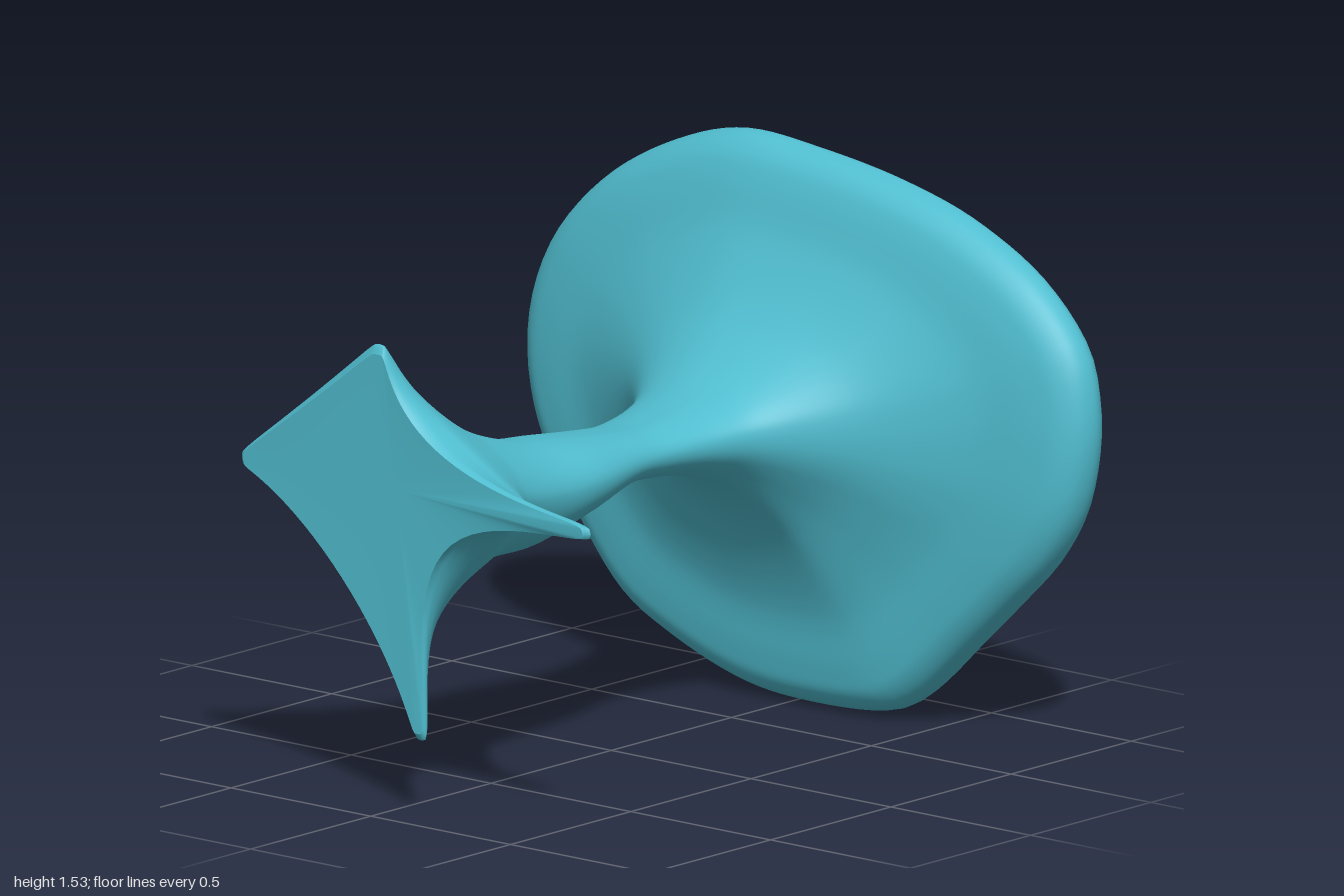
import * as THREE from 'three';

const SEG = 120, STEPS = 130;

// Rim of the broad disc, as [z, y]
const RIM = [
  [1, .82], [1, .95], [.96, 1.1], [.8, 1.27], [.55, 1.4], [.3, 1.47], [0, 1.515], [-.28, 1.53],
  [-.5, 1.47], [-.75, 1.33], [-.93, 1.13], [-1, .9], [-.96, .65], [-.8, .4], [-.62, .2],
  [-.45, .11], [-.2, .025], [0, 0], [.34, .02], [.43, .07], [.6, .23], [.73, .355], [.87, .5], [.96, .65],
];
const RIM_Y = .82;

// Star end and stem: x, top y, bottom y, +z reach, -z reach, centre y, starriness
const STEM = [
  [-.903, 1.26, .23, .715, -.54, .89, 1],
  [-.888, 1.285, .21, .735, -.555, .89, 1],
  [-.870, 1.26, .32, .59, -.53, .89, .95],
  [-.84, 1.21, .43, .47, -.49, .885, .86],
  [-.80, 1.155, .50, .405, -.455, .88, .75],
  [-.70, 1.06, .59, .29, -.38, .86, .52],
  [-.60, 1.00, .635, .225, -.33, .84, .34],
  [-.40, .935, .64, .175, -.265, .81, .18],
  [-.20, .91, .69, .16, -.245, .81, .08],
  [0, .887, .742, .12, -.212, .815, 0],
];
const NECK = [.1, .88, .74, .112, -.2, .815, 0];

// Flare and disc: x, blend from neck to rim, lean with height
const FLARE = [
  [.1, 0, 0], [.2, .012, 0], [.3, .04, 0], [.4, .09, .01], [.5, .19, .02], [.6, .345, .035], [.7, .625, .045],
  [.737, .84, .055], [.76, .93, .06], [.80, .985, .06], [.85, 1, .05], [.89, .985, .02], [.916, .955, 0],
  [.934, .89, 0], [.943, .78, 0], [.945, .6, 0], [.94, .3, 0], [.937, .05, 0],
];

// Rounded superellipse section with its own reach and curvature in each quadrant
function stemPoint([x, top, bottom, front, back, yc, star], t) {
  const c = Math.cos(t), s = Math.sin(t), r = .042;
  const pointy = c > 0 ? (s > 0 ? .5 : .4) : (s > 0 ? .95 : .72);
  const n = 2 + (pointy - 2) * star, blunt = 1 - .6 * star;
  const a = Math.abs(c > 0 ? front : back) - r;
  const b = Math.abs(s > 0 ? top - yc : yc - bottom) - r;
  const dy = Math.sign(s) * (b * Math.abs(s) ** (2 / n) + r * Math.abs(s) ** blunt);
  const dz = Math.sign(c) * (a * Math.abs(c) ** (2 / n) + r * Math.abs(c) ** blunt);
  const tip = Math.max(star - .6, 0) / .4;
  const sweep = .05 * (Math.max(dz, 0) / .73) ** 2 + .025 * (Math.max(-dy, 0) / .68) ** 2;
  return new THREE.Vector3(x - tip * sweep, yc + dy, dz - .16 * star * dy);
}

// Rim points sampled at even angles round the centre
function rimByAngle() {
  const curve = new THREE.CatmullRomCurve3(RIM.map(([z, y]) => new THREE.Vector3(0, y, z)), true);
  const dense = curve.getPoints(1800);
  return Array.from({ length: SEG }, (_, j) => {
    const t = j / SEG * Math.PI * 2, dir = new THREE.Vector3(0, Math.sin(t), Math.cos(t));
    let best = dense[0], score = -2;
    for (const p of dense) {
      const d = new THREE.Vector3(0, p.y - RIM_Y, p.z).normalize().dot(dir);
      if (d > score) { score = d; best = p; }
    }
    return best;
  });
}

function flarePoint([x, w, lean], t, rim) {
  const neck = stemPoint(NECK, t);
  // the flat face closes evenly towards the disc centre
  const p = x > .87
    ? new THREE.Vector3(x, RIM_Y + (rim.y - RIM_Y) * w, rim.z * w)
    : neck.lerp(rim, w);
  p.x = x + lean * (p.y - RIM_Y);
  return p;
}

// Skin made of smooth lengthwise curves, closed at the disc centre
function bodyGeometry() {
  const rim = rimByAngle(), pos = [], index = [];
  const lines = rim.map((edge, j) => {
    const t = j / SEG * Math.PI * 2;
    const knots = [...STEM.map(r => stemPoint(r, t)), ...FLARE.map(r => flarePoint(r, t, edge))];
    const curve = new THREE.CatmullRomCurve3(knots, false, 'centripetal');
    return curve.getPoints(STEPS);
  });
  for (let i = 0; i <= STEPS; i++) for (let j = 0; j < SEG; j++) pos.push(...lines[j][i].toArray());
  for (let i = 0; i < STEPS; i++) for (let j = 0; j < SEG; j++) {
    const k = (j + 1) % SEG, a = i * SEG + j, b = a + SEG, c = (i + 1) * SEG + k, d = i * SEG + k;
    index.push(a, b, c, a, c, d);
  }
  const last = STEPS * SEG, centre = pos.length / 3;
  pos.push(.937, RIM_Y, 0);
  for (let j = 0; j < SEG; j++) index.push(centre, last + (j + 1) % SEG, last + j);
  return makeGeometry(pos, index);
}

// Flat star-shaped end
function starGeometry() {
  const pos = [-.898, .89, 0], index = [];
  for (let j = 0; j < SEG; j++) {
    pos.push(...stemPoint(STEM[0], j / SEG * Math.PI * 2).toArray());
    index.push(0, 1 + j, 1 + (j + 1) % SEG);
  }
  return makeGeometry(pos, index);
}

function makeGeometry(pos, index) {
  const g = new THREE.BufferGeometry();
  g.setAttribute('position', new THREE.Float32BufferAttribute(pos, 3));
  g.setIndex(index);
  g.computeVertexNormals();
  return g;
}

export function createModel() {
  const group = new THREE.Group();
  group.name = 'flaredStem';
  const teal = new THREE.MeshStandardMaterial({ color: 0x50bdcf });
  teal.name = 'teal';
  const body = new THREE.Mesh(bodyGeometry(), teal);
  body.name = 'stemAndDisc';
  const star = new THREE.Mesh(starGeometry(), teal);
  star.name = 'starEndFace';
  group.add(body, star);
  return group;
}
